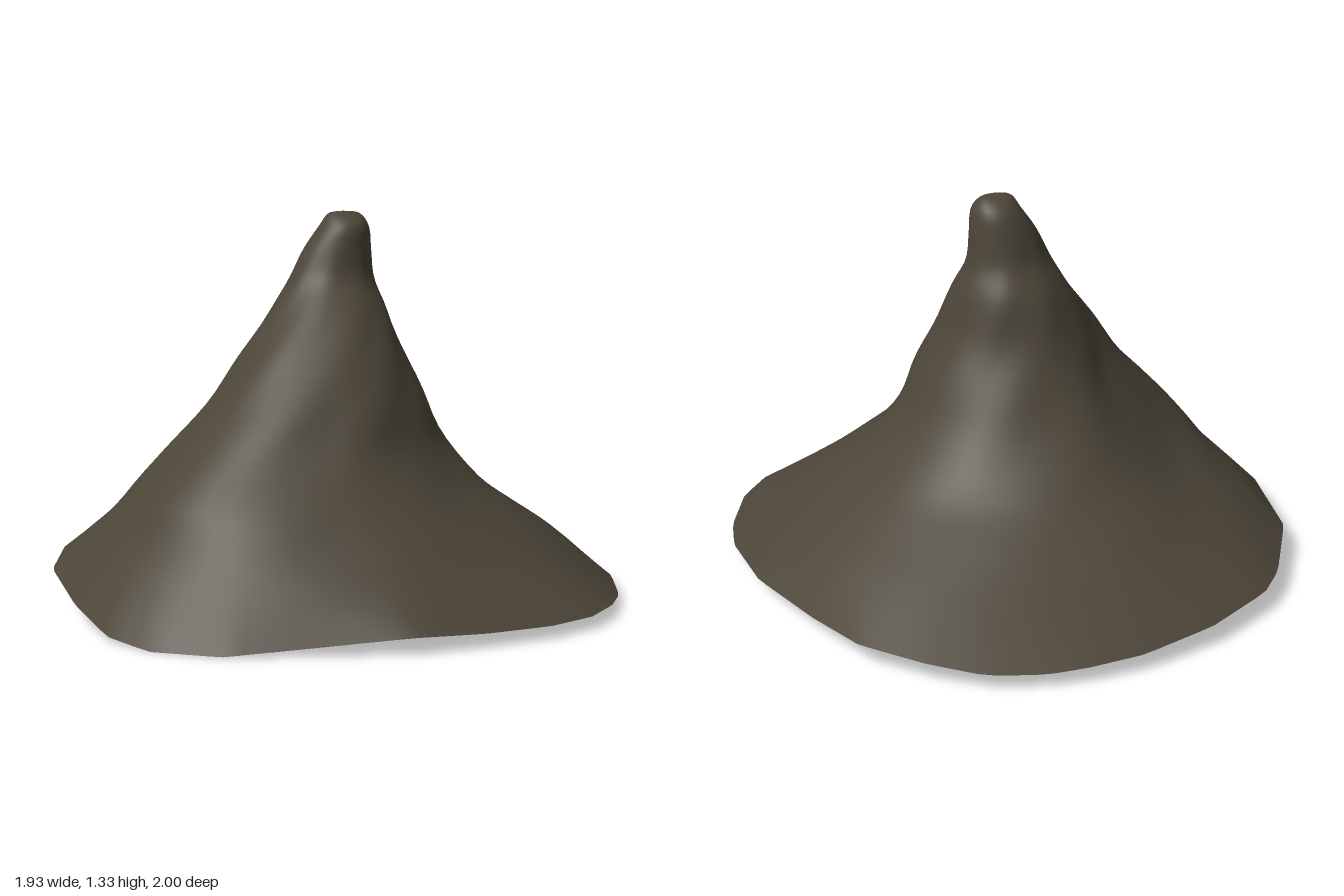
import * as THREE from 'three';
import { mergeVertices } from 'three/addons/utils/BufferGeometryUtils.js';

const { smoothstep } = THREE.MathUtils;

// Wavy rim, running anticlockwise seen from above, starting at the front: x, y, z
const RIM = [
  [0.05, 0.06, 1], [0.28, 0.05, 0.965], [0.52, 0.045, 0.905], [0.69, 0.045, 0.82],
  [0.81, 0.045, 0.69], [0.91, 0.03, 0.5], [0.96, 0.05, 0.3], [0.965, 0.07, -0.03],
  [0.88, 0.075, -0.37], [0.8, 0.08, -0.61], [0.64, 0.075, -0.8], [0.48, 0.06, -0.92],
  [0.3, 0.055, -0.98], [0.16, 0.06, -1], [-0.04, 0.065, -1], [-0.32, 0.075, -0.935],
  [-0.59, 0.08, -0.8], [-0.7, 0.085, -0.69], [-0.88, 0.1, -0.41], [-0.97, 0.11, -0.01],
  [-0.94, 0.07, 0.36], [-0.87, 0.02, 0.6], [-0.76, 0.002, 0.75], [-0.55, 0.005, 0.88],
  [-0.28, 0.03, 0.935], [-0.03, 0.055, 0.99],
];

// Cross-sections going up: height, then reach to -x, +x, +z, -z
const LEVELS = [
  [0.21, 0.865, 0.79, 0.84, 0.735],
  [0.3, 0.78, 0.66, 0.755, 0.61],
  [0.4, 0.7, 0.52, 0.67, 0.49],
  [0.55, 0.56, 0.39, 0.545, 0.37],
  [0.7, 0.42, 0.32, 0.455, 0.28],
  [0.85, 0.315, 0.25, 0.35, 0.205],
  [1.0, 0.2, 0.2, 0.23, 0.16],
  [1.1, 0.135, 0.16, 0.15, 0.105],
  [1.2, 0.085, 0.15, 0.13, 0.085],
  [1.28, 0.03, 0.14, 0.115, 0.06],
  [1.322, 0, 0.11, 0.065, 0.01],
];
const TIP = new THREE.Vector3(0.05, 1.33, 0.03);

// Swelling along each diagonal, on the brim and on the cone
const DIAGONALS = [
  { x: -1, z: 1, brim: 0.055, cone: 0.13 },
  { x: 1, z: -1, brim: 0.07, cone: 0.04 },
  { x: -1, z: -1, brim: 0, cone: -0.14 },
  { x: 1, z: 1, brim: -0.01, cone: -0.07 },
];

// One point of a cross-section: four joined ellipse quarters, swollen or hollowed
function sectionPoint([y, right, left, front, back], angle) {
  const cx = (left - right) / 2, cz = (front - back) / 2;
  const c = Math.cos(angle), s = Math.sin(angle);
  const { brim, cone } = DIAGONALS.find((d) => d.x * c >= 0 && d.z * s >= 0);
  const rise = smoothstep(y, 0.15, 0.5);
  const swell = brim * (1 - rise) + cone * rise * (1 - smoothstep(y, 0.62, 1.06));
  const k = 1 + swell * Math.sin(2 * angle) ** 2;
  return new THREE.Vector3(
    cx + c * k * (left + right) / 2, y, cz + s * k * (front + back) / 2);
}

// Soft lumps in the cloth
function lump(angle, y) {
  return Math.sin(5 * angle + 4 * y) * Math.sin(14 * y + 3 * angle);
}

function shellGeometry(around = 104, up = 40) {
  const corners = RIM.map((p) => new THREE.Vector3(...p));
  const rim = new THREE.CurvePath();
  corners.forEach((p, i) => rim.add(new THREE.LineCurve3(p, corners[(i + 1) % corners.length])));

  const positions = [], indices = [];
  for (let i = 0; i < around; i++) {
    const base = rim.getPoint(i / around);
    const angle = Math.atan2(base.z, base.x);
    const column = new THREE.CatmullRomCurve3(
      [base, ...LEVELS.map((l) => sectionPoint(l, angle)), TIP], false, 'centripetal');
    for (let j = 0; j <= up; j++) {
      const p = column.getPoint(j / up);
      const fade = Math.min(1, j / 6) * smoothstep(1.3 - p.y, 0, 0.5);
      const push = 0.006 * fade * lump(angle, p.y);
      positions.push(p.x + push * Math.cos(angle), p.y, p.z + push * Math.sin(angle));
    }
  }
  const at = (i, j) => (i % around) * (up + 1) + j;
  for (let i = 0; i < around; i++) {
    for (let j = 0; j < up; j++) {
      const a = at(i, j), b = at(i + 1, j), c = at(i + 1, j + 1), d = at(i, j + 1);
      indices.push(a, b, d);
      if (j < up - 1) indices.push(b, c, d);
    }
  }
  let geometry = new THREE.BufferGeometry();
  geometry.setAttribute('position', new THREE.Float32BufferAttribute(positions, 3));
  geometry.setIndex(indices);
  geometry = mergeVertices(geometry);
  geometry.computeVertexNormals();
  return geometry;
}

export function createModel() {
  const cloth = new THREE.MeshStandardMaterial({ color: 0x4c4538, side: THREE.DoubleSide });
  cloth.name = 'dark olive brown cloth';

  // Hollow pointed hat with a flared brim, open underneath
  const hat = new THREE.Mesh(shellGeometry(), cloth);
  hat.name = 'pointedHat';

  const model = new THREE.Group();
  model.name = 'hat';
  model.add(hat);
  return model;
}
